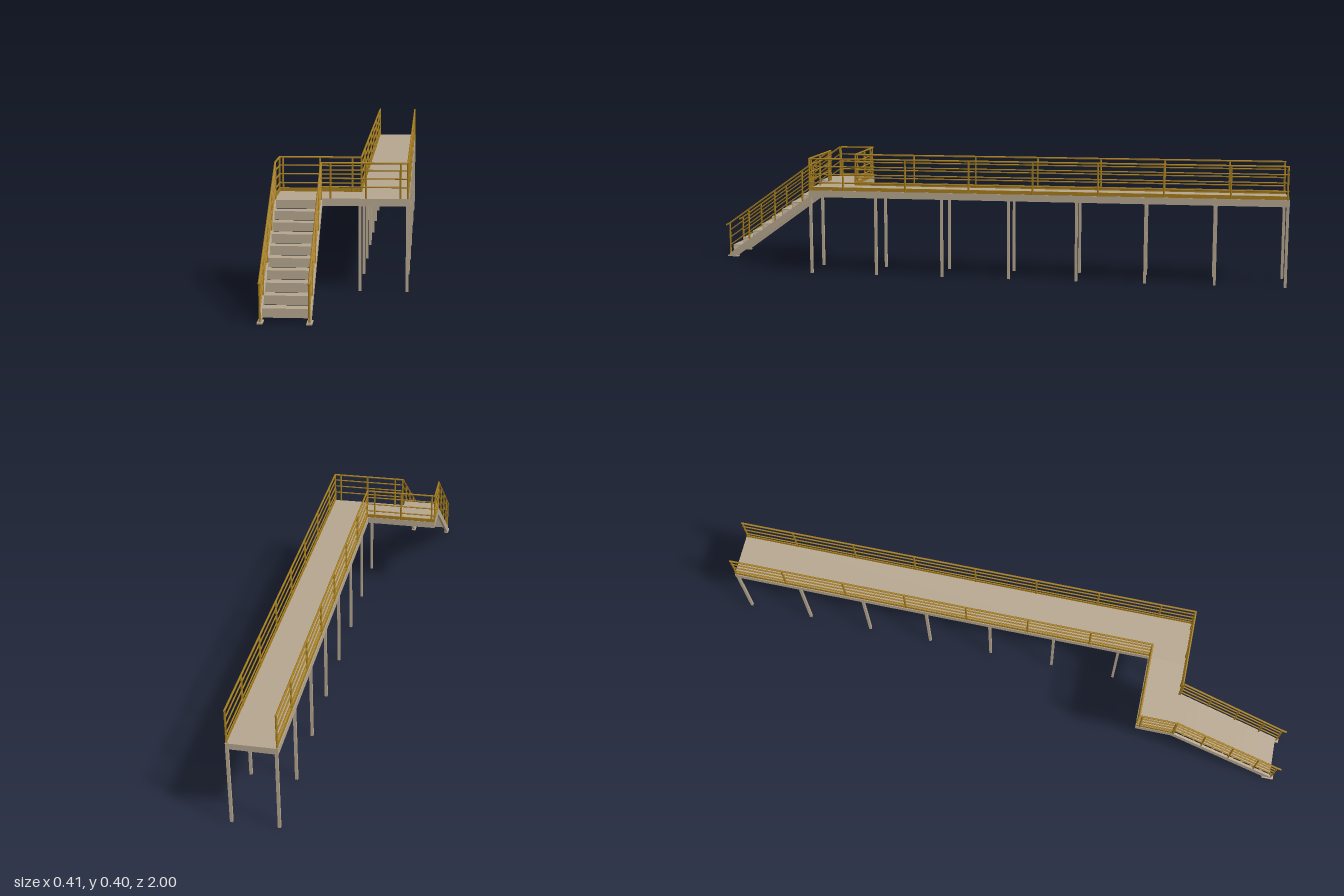
import * as THREE from 'three';

export function createModel() {
  const model = new THREE.Group();
  model.name = 'elevatedWalkway';
  const tan = new THREE.MeshStandardMaterial({ color: 0xb5a58e });
  tan.name = 'tan steel';
  const gold = new THREE.MeshStandardMaterial({ color: 0xa47c1c });
  gold.name = 'mustard railing';

  // Box given by its lower and upper limits
  function box(name, x0, x1, y0, y1, z0, z1, mat = tan, parent = model) {
    const m = new THREE.Mesh(new THREE.BoxGeometry(x1 - x0, y1 - y0, z1 - z0), mat);
    m.position.set((x0 + x1) / 2, (y0 + y1) / 2, (z0 + z1) / 2);
    m.name = name;
    parent.add(m);
  }

  // Round bar between two points
  const up = new THREE.Vector3(0, 1, 0);
  function bar(name, a, b, r, parent) {
    const p = new THREE.Vector3(...a), q = new THREE.Vector3(...b);
    const d = q.clone().sub(p);
    const m = new THREE.Mesh(new THREE.CylinderGeometry(r, r, d.length(), 10), gold);
    m.position.copy(p).add(q).multiplyScalar(0.5);
    m.quaternion.setFromUnitVectors(up, d.normalize());
    m.name = name;
    parent.add(m);
  }

  const DECK = 0.287, BASE = 0.264, TOP = 0.395;

  // Deck plates
  box('walkwayDeck', 0.05, 0.204, DECK - 0.004, DECK, -1, 0.6);
  box('landingDeck', -0.204, 0.05, DECK - 0.004, DECK, 0.472, 0.6);

  // Perimeter beams under the decks
  const beamTop = DECK - 0.004, w = 0.008;
  box('outerBeam', 0.204 - w, 0.204, BASE, beamTop, -1, 0.6);
  box('innerBeam', 0.05, 0.05 + w, BASE, beamTop, -1, 0.6);
  box('landingFrontBeam', -0.204, 0.204 - w, BASE, beamTop, 0.6 - w, 0.6);
  box('landingBackBeam', -0.204, 0.05, BASE, beamTop, 0.472, 0.472 + w);
  box('landingSideBeam', -0.204, -0.204 + w, BASE, beamTop, 0.472 + w, 0.6 - w);

  // Leg pairs with a cross beam over each
  for (let i = 0; i < 8; i++) {
    const z = 0.595 - i * 0.2271;
    for (const x of [0.056, 0.2]) box('leg', x - 0.0045, x + 0.0045, 0, BASE, z - 0.0045, z + 0.0045);
    box('crossBeam', 0.05 + w, 0.204 - w, BASE + 0.002, beamTop, z - 0.004, z + 0.004);
  }

  // Straight level railing; posts are fractions along its length
  function railing(name, a, b, posts, heights, toe) {
    const g = new THREE.Group();
    g.name = name;
    model.add(g);
    const at = (t, y) => [a[0] + (b[0] - a[0]) * t, y, a[1] + (b[1] - a[1]) * t];
    bar('topRail', at(0, TOP), at(1, TOP), 0.0032, g);
    for (const y of heights) bar('midRail', at(0, y), at(1, y), 0.0024, g);
    for (const t of posts) bar('post', at(t, DECK), at(t, TOP), 0.0032, g);
    if (toe) {
      const h = 0.0015;
      box('toeBoard', Math.min(a[0], b[0]) - h, Math.max(a[0], b[0]) + h, DECK, DECK + 0.012,
        Math.min(a[1], b[1]) - h, Math.max(a[1], b[1]) + h, gold, g);
    }
  }
  const mids = [0.369, 0.342, 0.314];
  const zPosts = [0.48, 0.265, 0.048, -0.167, -0.383, -0.598, -0.813, -0.993];
  railing('outerRailing', [0.201, 0.597], [0.201, -0.997],
    [0.597, ...zPosts].map(z => (0.597 - z) / 1.594), mids, true);
  railing('innerRailing', [0.054, 0.475], [0.054, -0.997],
    [0.475, ...zPosts.slice(1)].map(z => (0.475 - z) / 1.472), mids, true);
  railing('landingBackRailing', [-0.201, 0.475], [0.054, 0.475],
    [0.04, 0.495, 0.89], mids, true);
  railing('landingSideRailing', [-0.201, 0.475], [-0.201, 0.597], [0.08, 1], mids, true);
  railing('landingFrontRailing', [-0.062, 0.597], [0.201, 0.597],
    [0, 0.11, 0.52, 0.915], [0.373, 0.348, 0.322], false);

  // Stairs: closed risers and treads, the last level with the landing
  const stairs = new THREE.Group();
  stairs.name = 'stairs';
  model.add(stairs);
  const rise = 0.0273, run = 0.0377, xl = -0.194, xr = -0.067;
  for (let k = 0; k < 10; k++) {
    const y = 0.0415 + rise * k, z = 0.974 - run * k;
    box('tread', xl, xr, y - 0.003, y, z - run, z, tan, stairs);
    box('riser', xl, xr, y - rise + 0.001, y - 0.003, z - 0.003, z, tan, stairs);
  }

  // Sloping side pieces, feet and stair railings
  const profile = new THREE.Shape([[0.597, DECK], [0.985, 0.012], [0.985, 0], [0.96, 0], [0.597, BASE - 0.002]]
    .map(([z, y]) => new THREE.Vector2(-z, y)));
  const slope = (z, y) => y - (z - 0.6) * 0.71;
  for (const x of [-0.2, -0.062]) {
    const geo = new THREE.ExtrudeGeometry(profile, { depth: 0.008, bevelEnabled: false });
    geo.rotateY(Math.PI / 2);
    const s = new THREE.Mesh(geo, tan);
    s.position.x = x - 0.004;
    s.name = 'stringer';
    stairs.add(s);
    box('foot', x - 0.008, x + 0.008, 0, 0.004, 0.952, 0.992, tan, stairs);

    const g = new THREE.Group();
    g.name = 'stairRailing';
    stairs.add(g);
    const end = 0.983;
    bar('handrail', [x, TOP, 0.6], [x, slope(end, TOP), end], 0.0032, g);
    bar('handrailEnd', [x, slope(end, TOP), end], [x, slope(end, TOP) - 0.008, 0.998], 0.0032, g);
    for (const y of mids) bar('midRail', [x, y, 0.6], [x, slope(end, y), end], 0.0024, g);
    for (const z of [0.6, 0.705, 0.81, 0.91, end])
      bar('post', [x, Math.max(0.004, slope(z, DECK - 0.01)), z], [x, slope(z, TOP), z], 0.0032, g);
  }
  return model;
}
